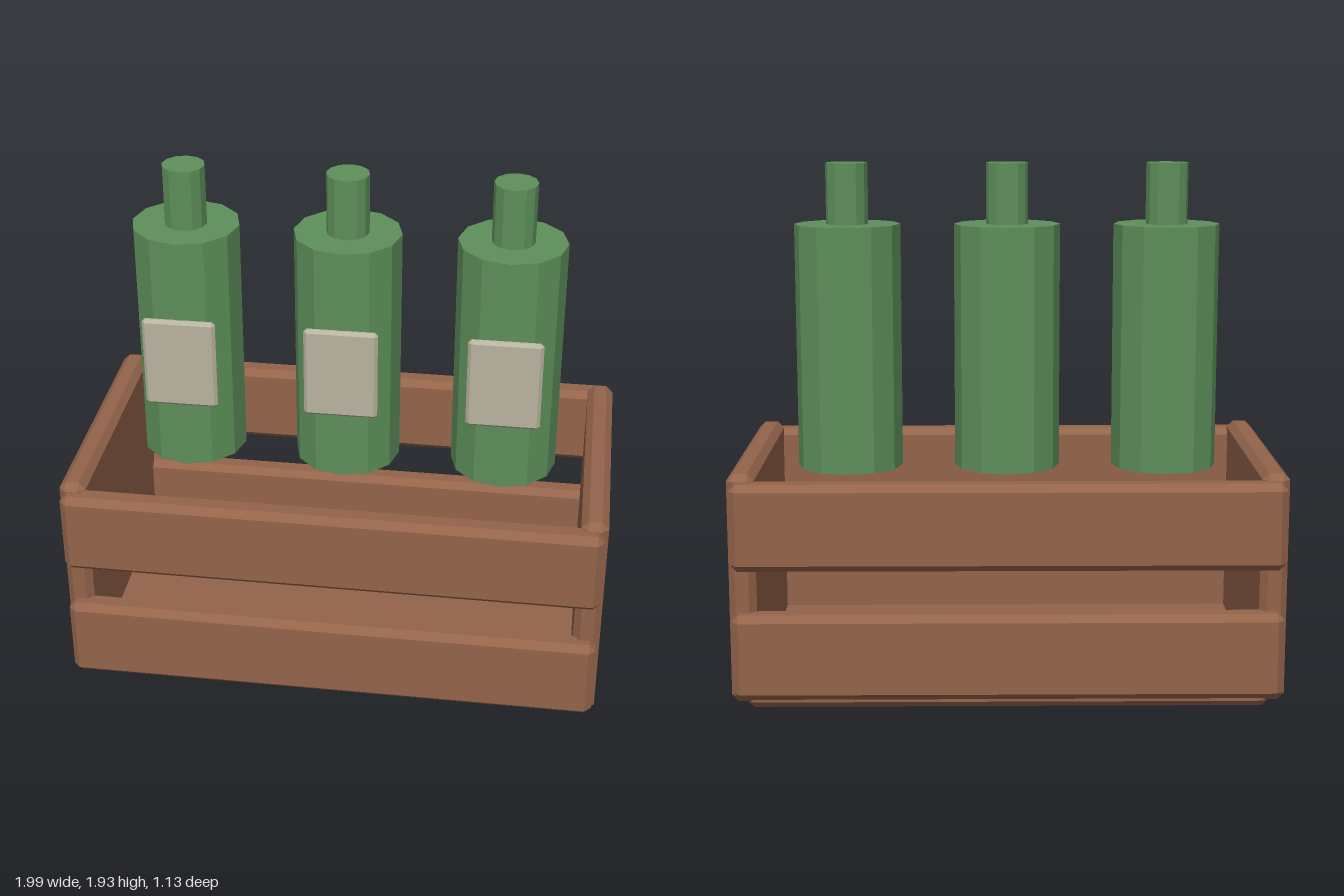
import * as THREE from 'three';
import { ConvexGeometry } from 'three/addons/geometries/ConvexGeometry.js';

function material(name, color) {
  const m = new THREE.MeshStandardMaterial({ color, flatShading: true });
  m.name = name;
  return m;
}

// Box with every edge chamfered by c
function chamferBox(w, h, d, c) {
  const points = [];
  for (const sx of [-1, 1]) for (const sy of [-1, 1]) for (const sz of [-1, 1]) {
    const x = w / 2, y = h / 2, z = d / 2;
    points.push(
      new THREE.Vector3(sx * x, sy * (y - c), sz * (z - c)),
      new THREE.Vector3(sx * (x - c), sy * y, sz * (z - c)),
      new THREE.Vector3(sx * (x - c), sy * (y - c), sz * z));
  }
  return new ConvexGeometry(points);
}

export function createModel() {
  const model = new THREE.Group();
  model.name = 'bottleCrate';
  const wood = material('wood', 0x94644a);
  const glass = material('greenGlass', 0x5e905a);
  const paper = material('labelPaper', 0xb8b29f);

  function add(parent, name, geometry, mat, x, y, z) {
    const mesh = new THREE.Mesh(geometry, mat);
    mesh.name = name;
    mesh.position.set(x, y, z);
    parent.add(mesh);
  }

  // Crate: base, two end panels, two slats on each long side
  const crate = new THREE.Group();
  crate.name = 'crate';
  model.add(crate);
  add(crate, 'base', chamferBox(1.89, 0.1, 1.0, 0.025), wood, 0, 0.053, 0);
  const endGeometry = chamferBox(0.098, 0.84, 1.03, 0.025);
  for (const side of [-1, 1]) {
    add(crate, side > 0 ? 'leftEnd' : 'rightEnd', endGeometry, wood, side * 0.948, 0.45, 0);
  }
  const slatGeometry = chamferBox(1.97, 0.315, 0.1, 0.025);
  for (const side of [-1, 1]) {
    const where = side > 0 ? 'front' : 'back';
    add(crate, where + 'LowerSlat', slatGeometry, wood, 0, 0.21, side * 0.515);
    add(crate, where + 'UpperSlat', slatGeometry, wood, 0, 0.685, side * 0.515);
  }

  // Bottles: faceted body, narrow neck and a front label
  const bodyGeometry = new THREE.CylinderGeometry(0.197, 0.197, 0.91, 12);
  const neckGeometry = new THREE.CylinderGeometry(0.078, 0.078, 0.23, 12);
  const labelGeometry = chamferBox(0.27, 0.35, 0.03, 0.012);
  for (const x of [-0.592, 0, 0.592]) {
    const bottle = new THREE.Group();
    bottle.name = 'bottle';
    bottle.position.x = x;
    add(bottle, 'body', bodyGeometry, glass, 0, 1.255, 0);
    add(bottle, 'neck', neckGeometry, glass, 0, 1.82, 0);
    add(bottle, 'label', labelGeometry, paper, 0, 1.235, 0.197);
    model.add(bottle);
  }
  return model;
}
